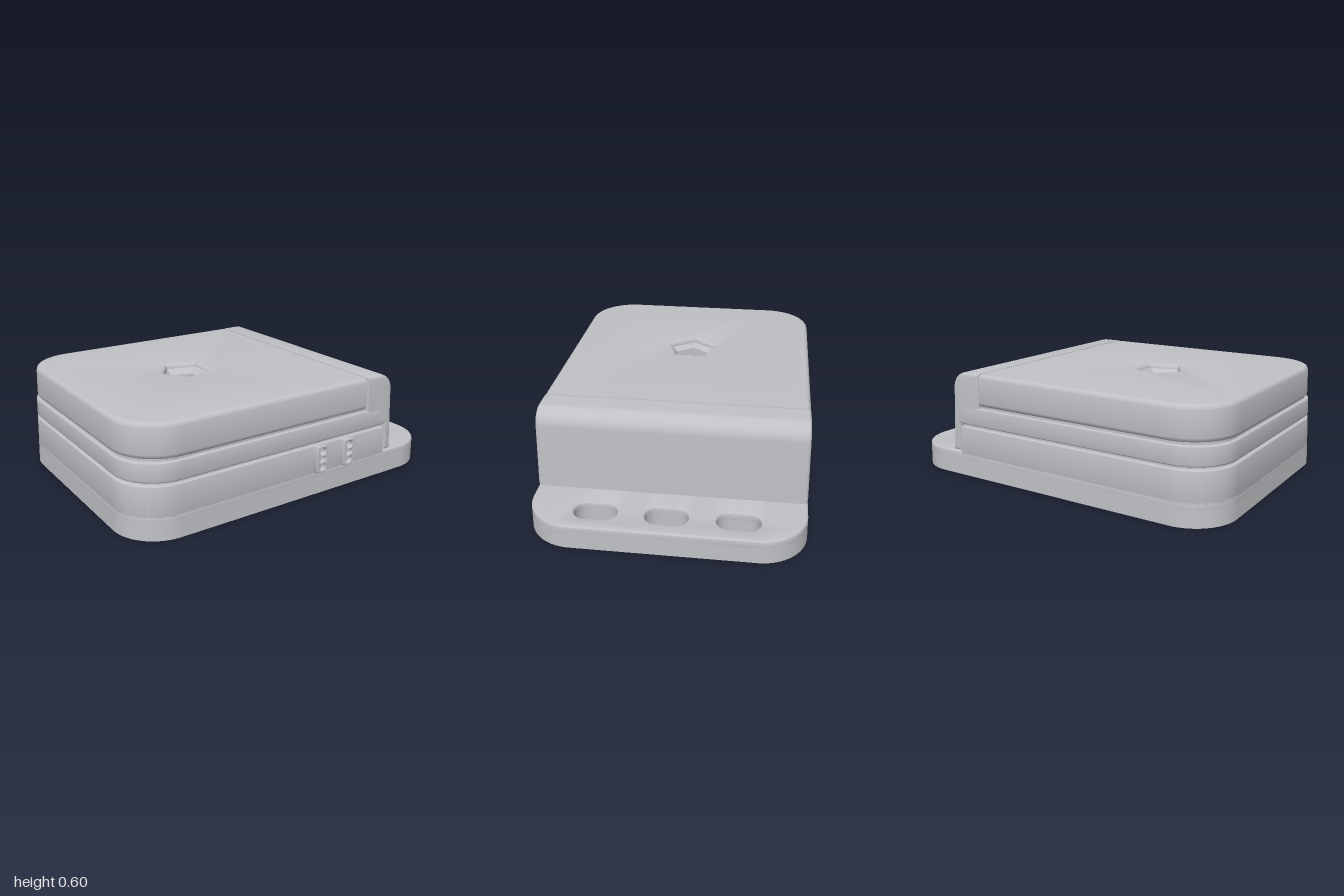
import * as THREE from 'three';
import { toCreasedNormals } from 'three/addons/utils/BufferGeometryUtils.js';

const HUB = { x: -0.285, z: -0.015 };
const SLOT_X = 0.85, SLOT_Z = [-0.39, -0.015, 0.36];
const Z0 = -0.745, Z1 = 0.725;

// Rounded rectangle with separate radii for its low-x and high-x ends
function outline(x0, x1, z0, z1, rl, rr, kind = THREE.Shape) {
  const s = new kind();
  s.moveTo(x0 + rl, z0);
  s.lineTo(x1 - rr, z0);
  if (rr) s.absarc(x1 - rr, z0 + rr, rr, -Math.PI / 2, 0);
  s.lineTo(x1, z1 - rr);
  if (rr) s.absarc(x1 - rr, z1 - rr, rr, 0, Math.PI / 2);
  s.lineTo(x0 + rl, z1);
  if (rl) s.absarc(x0 + rl, z1 - rl, rl, Math.PI / 2, Math.PI);
  s.lineTo(x0, z0 + rl);
  if (rl) s.absarc(x0 + rl, z0 + rl, rl, Math.PI, Math.PI * 1.5);
  return s;
}

function circle(x, y, r) {
  return new THREE.Path().absarc(x, y, r, 0, Math.PI * 2, true);
}

function polygon(points) {
  return new THREE.Path(points.map(([x, y]) => new THREE.Vector2(x, y)));
}

const slots = () => SLOT_Z.map((z) =>
  outline(SLOT_X - 0.07, SLOT_X + 0.07, z - 0.115, z + 0.115, 0.0699, 0.0699, THREE.Path));

// Draft: the walls lean slightly inwards as they rise
function draft(geo) {
  const p = geo.attributes.position;
  for (let i = 0; i < p.count; i++) {
    const x = p.getX(i), y = p.getY(i), z = p.getZ(i);
    p.setX(i, x < 0 ? x * (1 - 0.035 * y) : x * (1 - 0.045 * Math.max(0, y - 0.135)));
    p.setZ(i, -0.01 + (z + 0.01) * (1 - 0.04 * y));
  }
  return geo;
}

// Horizontal slab between two heights, drawn in x and z
function slab(shape, holes, y0, y1, bevel = 0, curveSegments = 12) {
  shape.holes.push(...holes);
  const geo = new THREE.ExtrudeGeometry(shape, {
    depth: y1 - y0 - 2 * bevel, curveSegments, bevelEnabled: bevel > 0,
    bevelSize: bevel, bevelThickness: bevel, bevelOffset: -bevel, bevelSegments: 3,
  });
  return geo.rotateX(Math.PI / 2).translate(0, y1 - bevel, 0);
}

export function createModel() {
  const group = new THREE.Group();
  const grey = new THREE.MeshStandardMaterial({ color: 0xc0c1c5, side: THREE.DoubleSide });
  grey.name = 'light grey plastic';
  const add = (name, geo, crease = 0.6) => {
    const mesh = new THREE.Mesh(toCreasedNormals(geo, crease), grey);
    mesh.name = name;
    group.add(mesh);
    return mesh;
  };
  const hubHole = (r) => circle(HUB.x, HUB.z, r);

  // Underside plate: screw holes, label recess and flange pockets
  const cuts = [hubHole(0.165), ...slots(),
    outline(-0.03, 0.3, -0.35, 0.32, 0, 0, THREE.Path)];
  for (const x of [-0.82, 0.46]) for (const z of [-0.56, 0.54]) cuts.push(circle(x, z, 0.042));
  const inner = [[0.8, 0.025], [0.745, 0.075], [0.72, 0.13], [0.6, 0.13], [0.6, 0.06], [0.53, 0.06]];
  const outer = [[0.965, 0.075], [0.955, 0.075], [0.9, 0.025]];
  const mirrored = (pts, zc) => polygon([
    ...pts.map(([x, z]) => [x, zc + z]),
    ...pts.slice().reverse().map(([x, z]) => [x, zc - z])]);
  for (const zc of [-0.5775, -0.2025, 0.1725, 0.5475]) {
    cuts.push(mirrored(inner, zc));
    if (Math.abs(zc) < 0.4) cuts.push(mirrored(outer, zc));
  }
  add('basePlate', draft(slab(outline(-1, 1, Z0, Z1, 0.25, 0.25), cuts, 0, 0.1)));
  add('labelRecess', new THREE.BoxGeometry(0.32, 0.08, 0.66).translate(0.135, 0.045, -0.015));

  // Mounting flange with three slots, and the lower housing
  add('mountingFlange', draft(slab(outline(-1, 1, Z0, Z1, 0.25, 0.25),
    [hubHole(0.14), ...slots()], 0.08, 0.135, 0.01)));
  add('lowerHousing', draft(slab(outline(-1, 0.605, Z0, Z1, 0.25, 0),
    [hubHole(0.14)], 0.11, 0.287, 0.008)));

  // Recessed core that closes the seams between the shells
  add('core', draft(slab(outline(-0.98, 0.59, Z0 + 0.018, Z1 - 0.018, 0.24, 0),
    [hubHole(0.14)], 0.15, 0.44)));

  // Middle shell
  add('middleShell', draft(slab(outline(-1, 0.6, Z0, Z1, 0.25, 0),
    [hubHole(0.14)], 0.3, 0.404, 0.008)));

  // End block, with a rounded shoulder and a flap reaching down to the flange
  const side = new THREE.Shape();
  side.moveTo(0.615, 0.14);
  side.lineTo(0.665, 0.14);
  side.lineTo(0.665, 0.507);
  side.absarc(0.575, 0.507, 0.09, 0, Math.PI / 2);
  side.lineTo(0.472, 0.597);
  side.lineTo(0.472, 0.3);
  side.lineTo(0.615, 0.3);
  const b = 0.018;
  const block = new THREE.ExtrudeGeometry(side, {
    depth: Z1 - Z0 - 2 * b, curveSegments: 10, bevelSize: b, bevelThickness: b,
    bevelOffset: -b, bevelSegments: 3,
  }).translate(0, 0, Z0 + b);
  add('endBlock', draft(block));

  // Lid, soft on its outer edges and square beside the end block
  const pentagon = polygon([0, 1, 2, 3, 4].map((i) => {
    const a = Math.PI + i * Math.PI * 0.4;
    return [HUB.x + 0.14 * Math.cos(a), HUB.z + 0.14 * Math.sin(a)];
  }));
  const lid = slab(outline(-1, 0.46, Z0, Z1, 0.27, 0), [pentagon], 0.414, 0.597, 0.025, 5);
  const lp = lid.attributes.position;
  for (let i = 0; i < lp.count; i++) if (lp.getX(i) > 0.4) lp.setX(i, 0.465);
  add('lid', draft(lid));

  // Five-sided dish in the lid, round dish underneath, square through-hole
  const lathe = (pts, n) => new THREE.LatheGeometry(
    pts.map(([r, y]) => new THREE.Vector2(r, y)), n, -Math.PI / 2).translate(HUB.x, 0, HUB.z);
  add('topDish', lathe([[0.085, 0.42], [0.1, 0.54], [0.172, 0.597]], 5), 0.3);
  add('bottomDish', lathe([[0.165, 0], [0.12, 0.03], [0.11, 0.06]], 32));
  const hub = new THREE.Shape().absarc(HUB.x, HUB.z, 0.15, 0, Math.PI * 2);
  add('hub', slab(hub,
    [outline(-0.335, -0.232, -0.065, 0.037, 0, 0, THREE.Path)], 0.06, 0.42, 0, 24));
  const ring = new THREE.Shape().absarc(HUB.x, HUB.z, 0.09, 0, Math.PI * 2);
  add('hubCollar', slab(ring, [hubHole(0.075)], 0.035, 0.07, 0, 20));

  // Two perforated clips on the front wall
  for (const x of [0.125, 0.315]) {
    const clip = outline(-0.04, 0.04, -0.078, 0.078, 0.015, 0.015);
    for (const y of [-0.045, 0, 0.045]) clip.holes.push(circle(0, y, 0.021));
    add('frontClip', new THREE.ExtrudeGeometry(clip, {
      depth: 0.04, curveSegments: 8, bevelSize: 0.004, bevelThickness: 0.004,
      bevelOffset: -0.004, bevelSegments: 1,
    }).translate(x, 0.208, 0.703));
  }
  return group;
}
